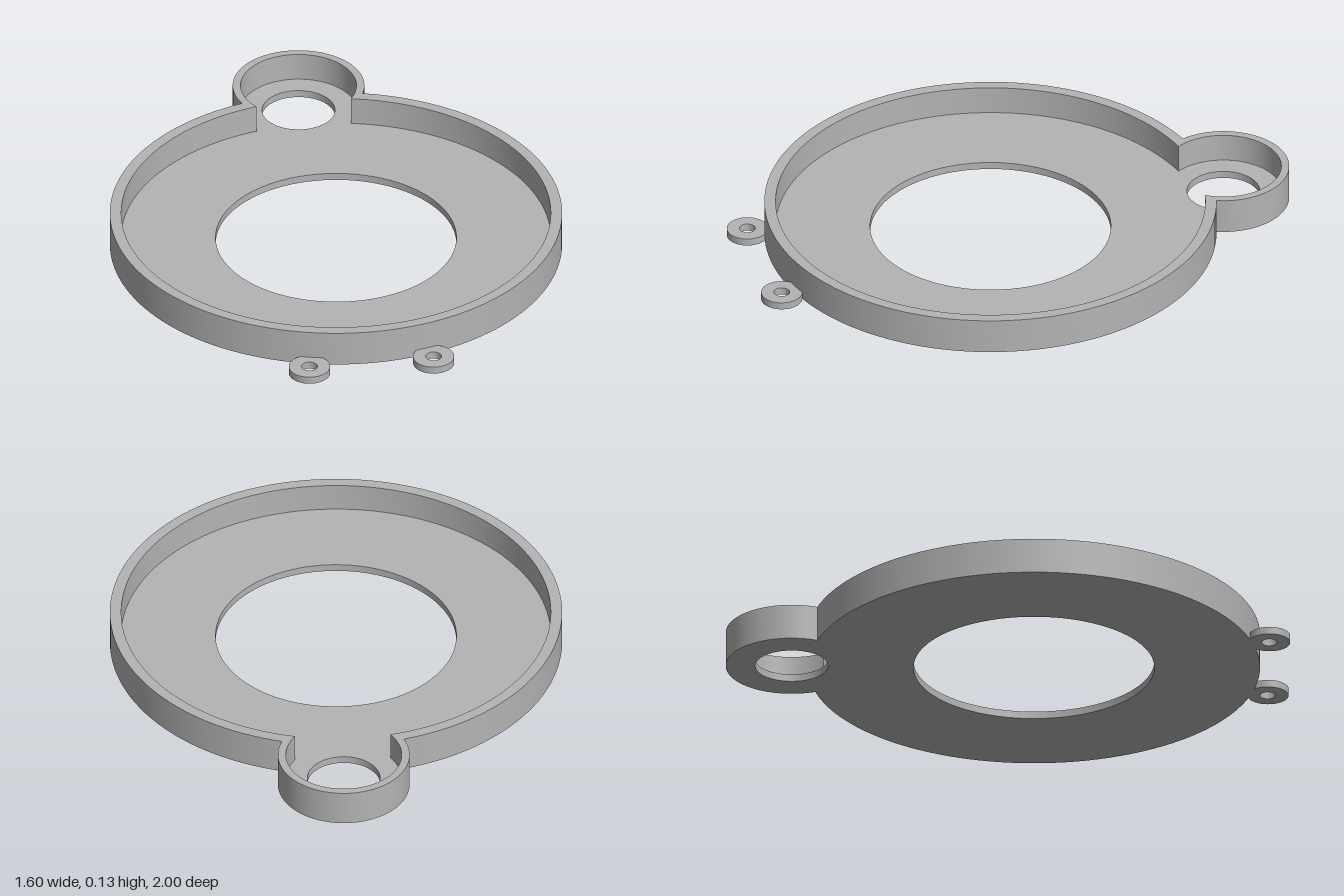
import * as THREE from 'three';
import { toCreasedNormals } from 'three/addons/utils/BufferGeometryUtils.js';

const MAIN = new THREE.Vector2(0, -0.09); // plan coordinates: y = -z
const EAR = new THREE.Vector2(0.022, 0.767);
const FLOOR = 0.027, HEIGHT = 0.13;

// Points along an arc, leaving out the last one
function arc(c, r, from, to, n) {
  return Array.from({ length: n }, (_, i) => {
    const a = from + (to - from) * i / n;
    return new THREE.Vector2(c.x + r * Math.cos(a), c.y + r * Math.sin(a));
  });
}

const circle = (c, r, n = 96) => arc(c, r, 0, Math.PI * 2, n);

// Joined outline of the large circle and the small ear circle
function keyhole(R, r) {
  const d = EAR.clone().sub(MAIN), D = d.length(), t = d.angle();
  const a = (D * D + R * R - r * r) / (2 * D);
  const alpha = Math.acos(a / R), beta = Math.acos((D - a) / r);
  return [
    ...arc(MAIN, R, t + alpha, t - alpha + Math.PI * 2, 128),
    ...arc(EAR, r, t + Math.PI + beta, t + Math.PI * 3 - beta, 64),
  ];
}

// Plan shape with holes, raised upwards from y
function plate(name, outline, holes, y, height, material) {
  const shape = new THREE.Shape(outline);
  shape.holes = holes.map((h) => new THREE.Path(h));
  const geo = new THREE.ExtrudeGeometry(shape, { depth: height, bevelEnabled: false });
  geo.rotateX(-Math.PI / 2);
  geo.translate(0, y, 0);
  const mesh = new THREE.Mesh(toCreasedNormals(geo, 0.5), material);
  mesh.name = name;
  return mesh;
}

export function createModel() {
  const group = new THREE.Group();
  group.name = 'ringHousing';
  const grey = new THREE.MeshStandardMaterial({ color: 0xb4b4b4 });
  grey.name = 'grey';

  // Floor with the large and small openings
  const outer = keyhole(0.8, 0.233);
  group.add(plate('floor', outer, [circle(MAIN, 0.426), circle(EAR, 0.129, 64)], 0, FLOOR, grey));

  // Thin wall around the joined outline
  group.add(plate('wall', outer, [keyhole(0.76, 0.205)], FLOOR, HEIGHT - FLOOR, grey));

  // Two mounting lugs at the front
  for (const [name, x, z] of [['rightLug', -0.246, 0.914], ['leftLug', 0.198, 0.927]]) {
    const c = new THREE.Vector2(x, -z);
    group.add(plate(name, circle(c, 0.073, 48), [circle(c, 0.028, 32)], 0, FLOOR, grey));
  }
  return group;
}
